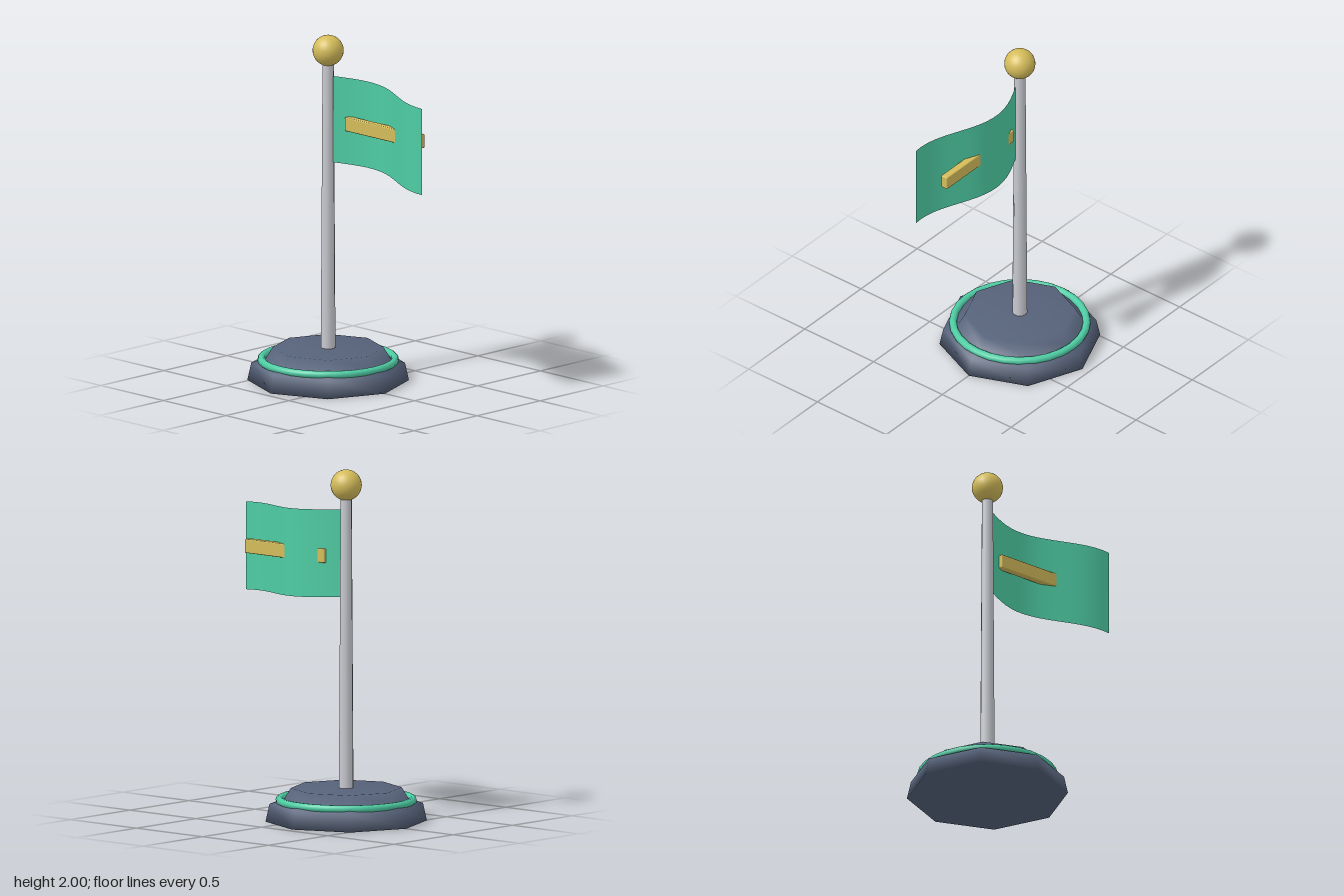
import * as THREE from 'three';
import { RoundedBoxGeometry } from 'three/addons/geometries/RoundedBoxGeometry.js';

const POLE_X = -0.19;

function material(name, color, extra = {}) {
  return new THREE.MeshStandardMaterial({ name, color, ...extra });
}

// Rippling cloth: a plane whose columns sway in z and sag away from the pole
function flagGeometry(width, height) {
  const geometry = new THREE.PlaneGeometry(width, height, 16, 6);
  const p = geometry.attributes.position;
  for (let i = 0; i < p.count; i++) {
    const t = p.getX(i) / width + 0.5;
    p.setY(i, p.getY(i) - 0.04 * t);
    p.setZ(i, -0.08 * Math.sin(4.9 * t));
  }
  geometry.computeVertexNormals();
  return geometry;
}

export function createModel() {
  const slate = material('slate', 0x56627a);
  const green = material('green', 0x4ecca3);
  const cloth = material('green cloth', 0x4ecca3, { side: THREE.DoubleSide });
  const gold = material('gold', 0xd4bc5a);
  const silver = material('silver', 0xc8cad0);

  const model = new THREE.Group();
  model.name = 'flagOnPole';
  const add = (name, geometry, mat, x, y, z = 0) => {
    const mesh = new THREE.Mesh(geometry, mat);
    mesh.name = name;
    mesh.position.set(x, y, z);
    model.add(mesh);
    return mesh;
  };

  // Eight-sided stepped base
  const profile = [[0, 0], [0.455, 0], [0.433, 0.1], [0.35, 0.128], [0.313, 0.19], [0, 0.19]]
    .map(([r, y]) => new THREE.Vector2(r, y));
  add('base', new THREE.LatheGeometry(profile, 8), slate, POLE_X, 0);

  // Ring lying on the step
  const ring = add('baseRing', new THREE.TorusGeometry(0.377, 0.022, 10, 28), green, POLE_X, 0.121);
  ring.rotation.x = Math.PI / 2;

  // Tapered pole and ball
  add('pole', new THREE.CylinderGeometry(0.032, 0.042, 1.68, 10), silver, POLE_X, 1.02);
  add('finial', new THREE.SphereGeometry(0.088, 24, 16), gold, POLE_X, 1.912);

  // Flag with a straight bar running through its folds
  add('flag', flagGeometry(0.79, 0.5), cloth, 0.245, 1.52);
  add('flagBar', new RoundedBoxGeometry(0.6, 0.08, 0.043, 2, 0.006), gold, 0.228, 1.502, -0.035);

  return model;
}
